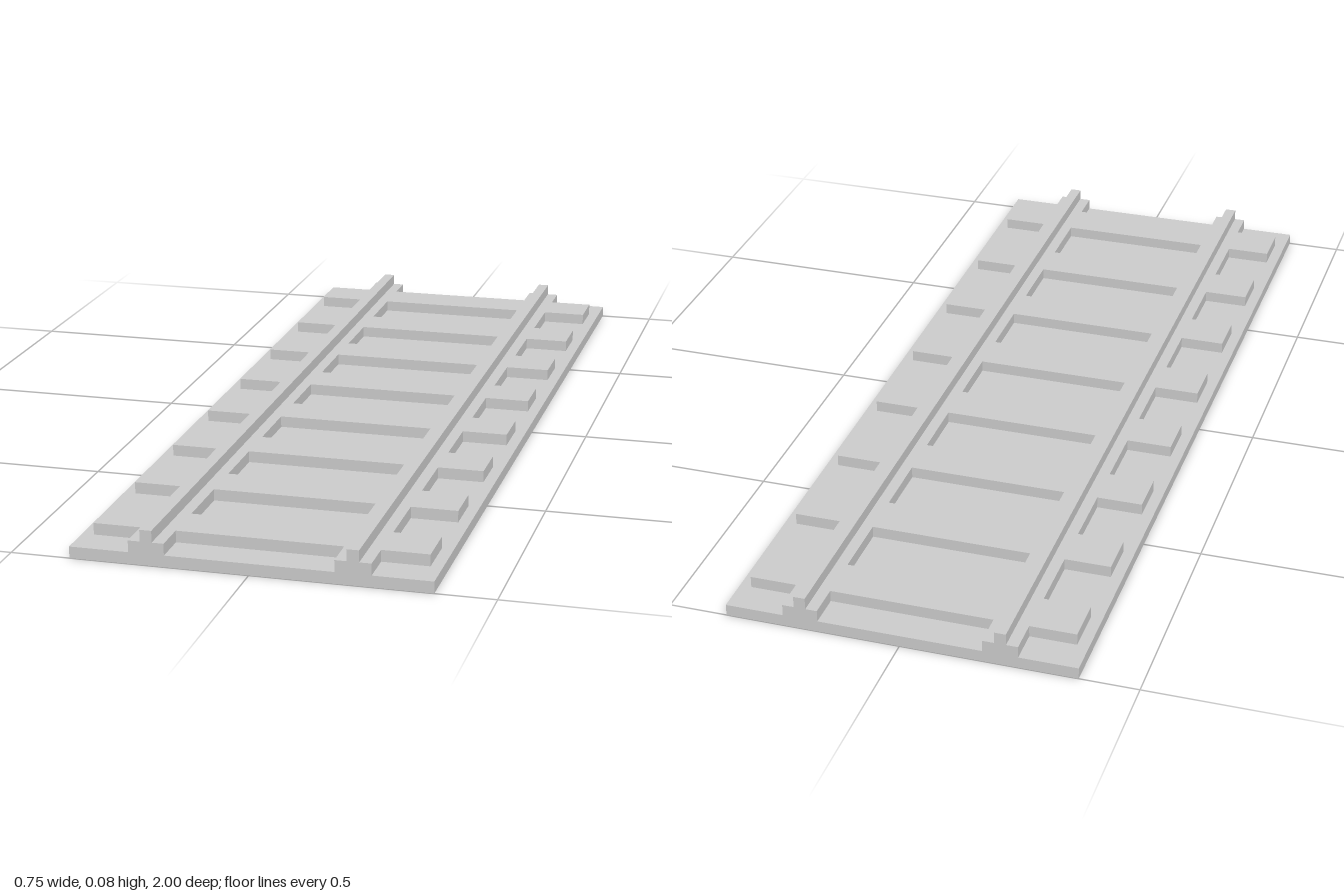
import * as THREE from 'three';

const LENGTH = 2;
const TIE_COUNT = 8;
const TIE_SPACING = LENGTH / TIE_COUNT;

export function createModel() {
  const model = new THREE.Group();
  model.name = 'trackSection';
  const material = new THREE.MeshStandardMaterial({ color: 0xcccccc, flatShading: true });

  // Box spanning x0..x1 and y0..y1, centred on z
  function addBox(parent, name, x0, x1, y0, y1, z, depth) {
    const mesh = new THREE.Mesh(new THREE.BoxGeometry(x1 - x0, y1 - y0, depth), material);
    mesh.position.set((x0 + x1) / 2, (y0 + y1) / 2, z);
    mesh.name = name;
    parent.add(mesh);
  }

  // Flat bed under the whole track
  addBox(model, 'bed', -0.375, 0.375, 0, 0.025, 0, LENGTH);

  // Rails: stepped profile with a wide foot and a narrow head
  const profile = new THREE.Shape([
    [-0.0375, 0.025], [0.0375, 0.025], [0.0375, 0.05], [0.0125, 0.05],
    [0.0125, 0.075], [-0.0125, 0.075], [-0.0125, 0.05], [-0.0375, 0.05],
  ].map(([x, y]) => new THREE.Vector2(x, y)));
  const railGeometry = new THREE.ExtrudeGeometry(profile, { depth: LENGTH, bevelEnabled: false });
  railGeometry.translate(0, 0, -LENGTH / 2);
  for (const side of [1, -1]) {
    const rail = new THREE.Mesh(railGeometry, material);
    rail.name = side > 0 ? 'leftRail' : 'rightRail';
    rail.position.x = side * 0.2125;
    model.add(rail);
  }

  // Ties: a middle span and two outer ends, flush with the rail feet
  for (let i = 0; i < TIE_COUNT; i++) {
    const tie = new THREE.Group();
    tie.name = `tie${i + 1}`;
    tie.position.z = (i + 0.5) * TIE_SPACING - LENGTH / 2;
    addBox(tie, 'tieMiddle', -0.175, 0.175, 0.025, 0.05, 0, 0.1);
    addBox(tie, 'tieLeftEnd', 0.25, 0.35, 0.025, 0.05, 0, 0.1);
    addBox(tie, 'tieRightEnd', -0.35, -0.25, 0.025, 0.05, 0, 0.1);
    model.add(tie);
  }

  return model;
}
